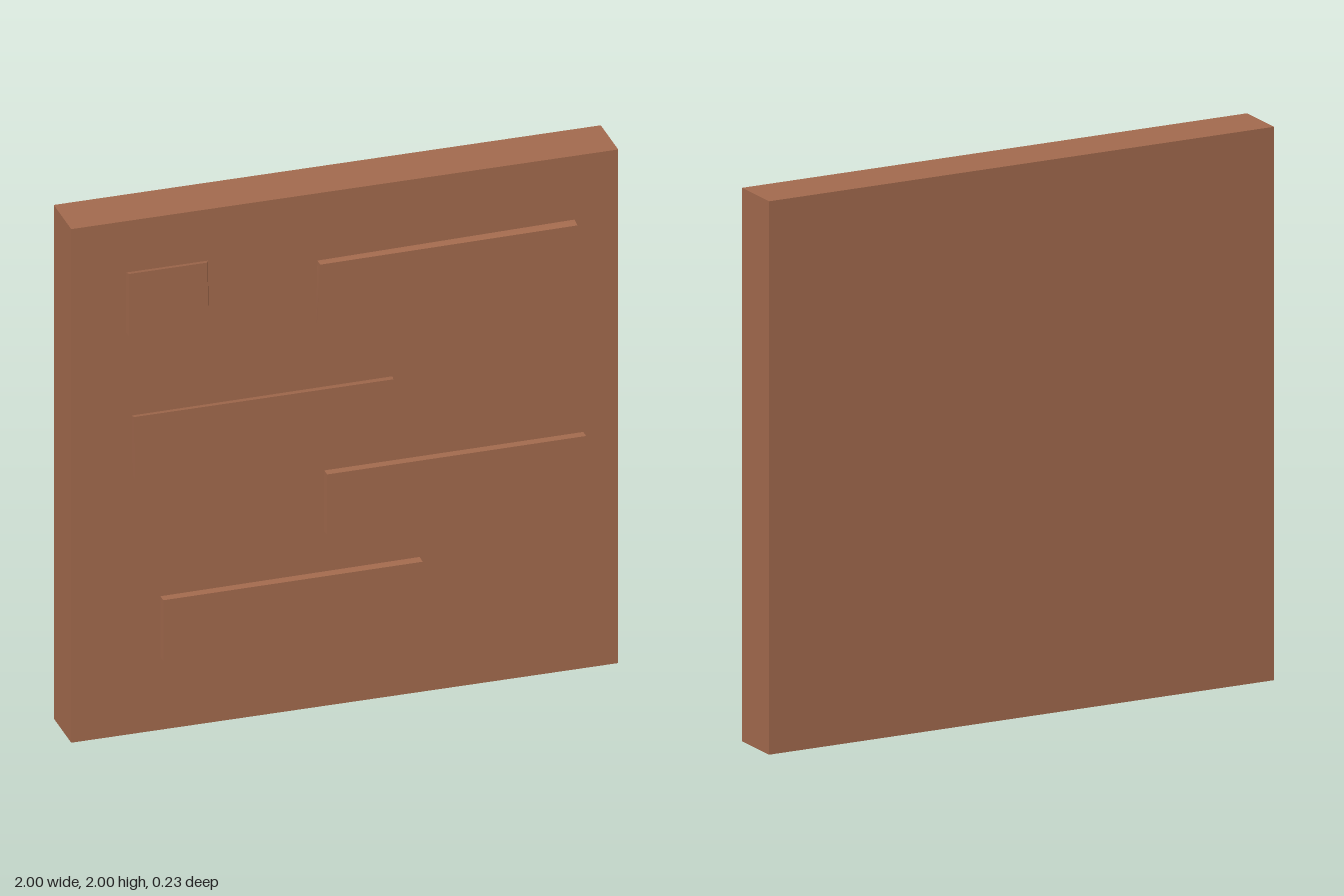
import * as THREE from 'three';

const WALL_BACK = -0.115, WALL_FRONT = 0.082, BRICK_FRONT = 0.115;

// Each raised brick: face corners and base corners as [x, y], in order TL, TR, BR, BL
const BRICKS = [
  { name: 'topLeftHalfBrick',
    face: [[-0.80, 1.81], [-0.513, 1.81], [-0.508, 1.56], [-0.80, 1.567]],
    base: [[-0.80, 1.80], [-0.50, 1.80], [-0.505, 1.56], [-0.80, 1.567]] },
  { name: 'topRightBrick',
    face: [[-0.10, 1.738], [0.84, 1.745], [0.84, 1.503], [-0.112, 1.51]],
    base: [[-0.10, 1.738], [0.84, 1.752], [0.846, 1.503], [-0.105, 1.51]] },
  { name: 'middleLeftBrick',
    face: [[-0.78, 1.25], [0.167, 1.25], [0.172, 1.01], [-0.776, 1.003]],
    base: [[-0.78, 1.24], [0.175, 1.245], [0.172, 1.01], [-0.776, 1.007]] },
  { name: 'middleRightBrick',
    face: [[-0.075, 0.917], [0.872, 0.92], [0.872, 0.684], [-0.075, 0.682]],
    base: [[-0.075, 0.917], [0.872, 0.92], [0.872, 0.684], [-0.075, 0.678]] },
  { name: 'bottomBrick',
    face: [[-0.674, 0.52], [0.274, 0.523], [0.274, 0.283], [-0.674, 0.283]],
    base: [[-0.674, 0.52], [0.274, 0.526], [0.274, 0.283], [-0.674, 0.283]] },
];

// Box whose corners are moved onto a slightly irregular face and base outline
function brickGeometry({ face, base }) {
  const geo = new THREE.BoxGeometry(1, 1, 1);
  const pos = geo.attributes.position;
  for (let i = 0; i < pos.count; i++) {
    const right = pos.getX(i) > 0, top = pos.getY(i) > 0, front = pos.getZ(i) > 0;
    const corner = top ? (right ? 1 : 0) : (right ? 2 : 3);
    const [x, y] = (front ? face : base)[corner];
    pos.setXYZ(i, x, y, front ? BRICK_FRONT : WALL_FRONT);
  }
  geo.computeVertexNormals();
  return geo;
}

export function createModel() {
  const group = new THREE.Group();
  group.name = 'brickWall';
  const clay = new THREE.MeshStandardMaterial({ color: 0xa46b4e });
  clay.name = 'clay brown';

  // Wall slab
  const wall = new THREE.Mesh(new THREE.BoxGeometry(2, 2, WALL_FRONT - WALL_BACK), clay);
  wall.name = 'wallSlab';
  wall.position.set(0, 1, (WALL_FRONT + WALL_BACK) / 2);
  group.add(wall);

  // Raised bricks on the front
  for (const brick of BRICKS) {
    const mesh = new THREE.Mesh(brickGeometry(brick), clay);
    mesh.name = brick.name;
    group.add(mesh);
  }
  return group;
}
